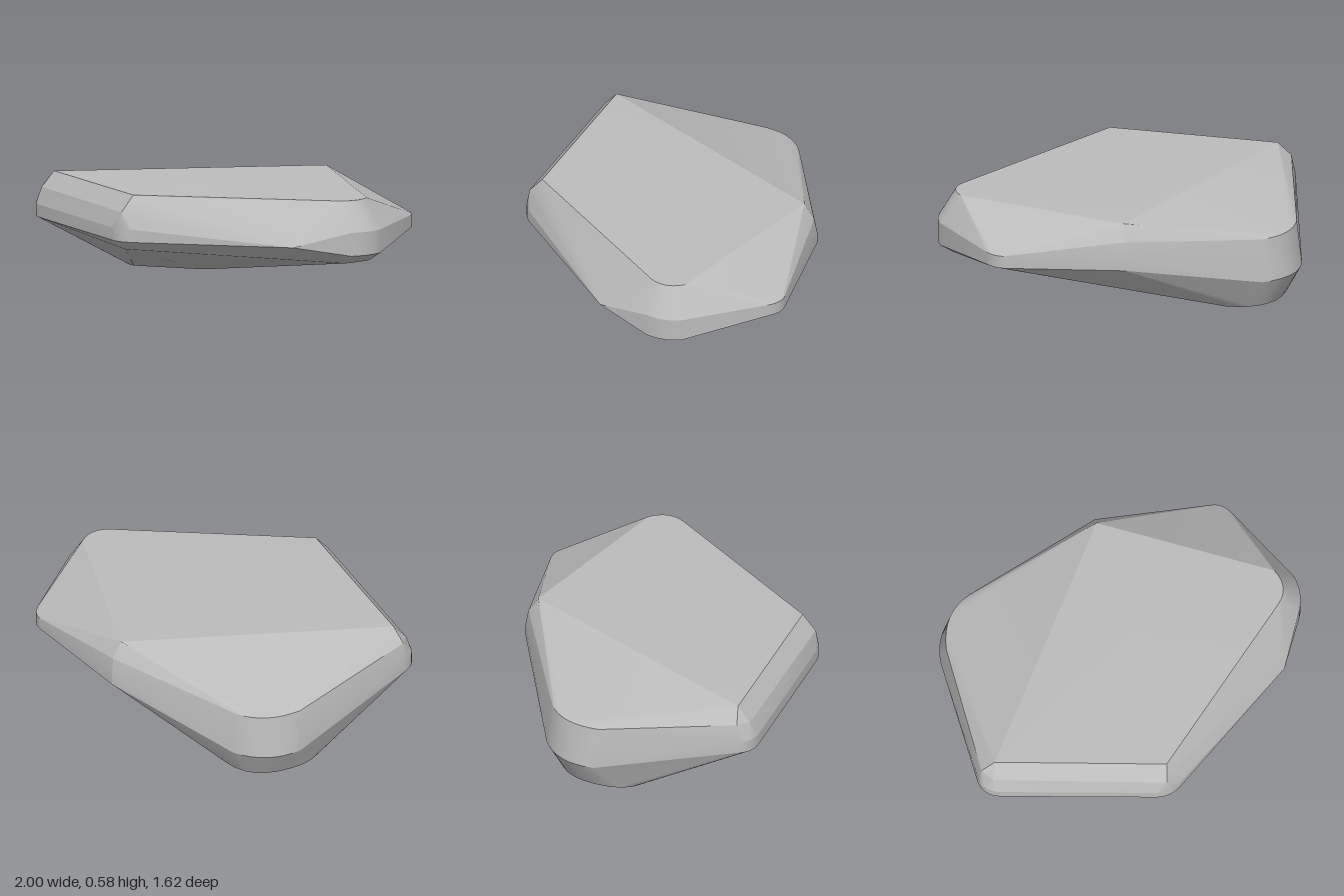
import * as THREE from 'three';
import { ConvexGeometry } from 'three/addons/geometries/ConvexGeometry.js';
import { toCreasedNormals } from 'three/addons/utils/BufferGeometryUtils.js';

// Rounded corner in plan at height y: start, control and end are [x, z].
function bend(y, start, control, end) {
  const curve = new THREE.QuadraticBezierCurve(
    new THREE.Vector2(...start), new THREE.Vector2(...control), new THREE.Vector2(...end));
  return curve.getPoints(8).map((p) => [p.x, y, p.y]);
}

// Flat top
const topFace = [
  [-0.82, 0.575, 0.55], [0.11, 0.58, 0.71], [-0.05, 0.58, -0.74],
  ...bend(0.563, [0.84, -0.1], [0.95, -0.2], [0.87, -0.32]),
];

// Rounded-over edge just below the top
const shoulder = [
  [-0.895, 0.5, 0.56], [-0.84, 0.49, 0.62], [0.1, 0.49, 0.785], [-0.05, 0.49, -0.795],
  ...bend(0.41, [-0.79, -0.5], [-0.96, -0.42], [-0.97, -0.2]),
];

// Upright band around the widest outline
const band = [0.33, 0.4].flatMap((y) => [
  ...bend(y, [-0.8, 0.665], [-0.915, 0.645], [-0.92, 0.53]),
  ...bend(y, [0.02, 0.8], [0.11, 0.82], [0.18, 0.76]),
  ...bend(y, [0.58, -0.81], [0.67, -0.82], [0.72, -0.72]),
  [-0.06, y, -0.81],
]);
const rightTip = [0.27, 0.4].flatMap((y) =>
  bend(y, [0.98, -0.33], [1.02, -0.23], [0.98, -0.13]));
const leftBulge = bend(0.17, [-0.8, -0.53], [-1, -0.44], [-1, -0.22]);

// Sloping underside and the small flat foot
const underside = [
  [0.85, 0.33, 0.17], [0.09, 0.28, 0.75], [0.91, 0.22, -0.14], [0.91, 0.22, -0.3],
  [-0.42, 0, -0.34], [-0.45, 0, -0.2],
  ...bend(0, [-0.6, -0.47], [-0.9, -0.5], [-0.92, -0.15]),
  ...bend(0, [-0.92, -0.15], [-0.91, 0.04], [-0.78, 0.03]),
];

export function createModel() {
  const group = new THREE.Group();
  group.name = 'rock';
  const stone = new THREE.MeshStandardMaterial({ color: 0xbcbcbc });
  stone.name = 'stone grey';

  // One faceted slab with softly rounded corners
  const corners = [...topFace, ...shoulder, ...band, ...rightTip, ...leftBulge, ...underside]
    .map((p) => new THREE.Vector3(...p));
  const slab = new THREE.Mesh(toCreasedNormals(new ConvexGeometry(corners), 0.28), stone);
  slab.name = 'stoneSlab';
  group.add(slab);
  return group;
}
